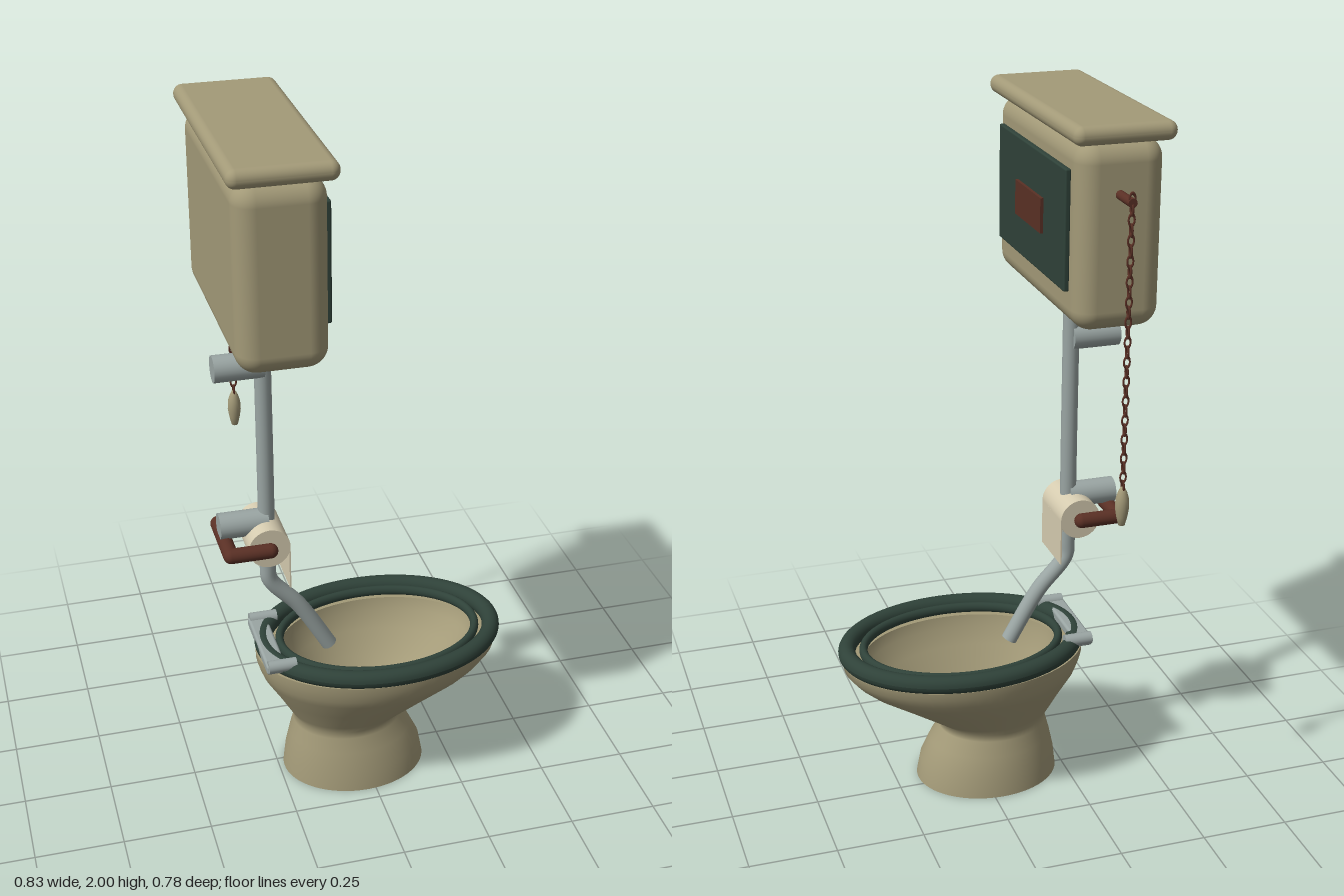
import * as THREE from 'three';
import { RoundedBoxGeometry } from 'three/addons/geometries/RoundedBoxGeometry.js';

const CZ = 0.037; // centre line of the fixture along z

const flat = (name, color, side = THREE.FrontSide) => {
  const m = new THREE.MeshStandardMaterial({ color, side });
  m.name = name;
  return m;
};

// Skin elliptical rings [y, centreX, radiusX, radiusZ]
function loft(rings, seg = 64) {
  const pos = [], idx = [];
  rings.forEach(([y, cx, rx, rz]) => {
    for (let j = 0; j < seg; j++) {
      const a = (j / seg) * Math.PI * 2;
      pos.push(cx + rx * Math.cos(a), y, CZ + rz * Math.sin(a));
    }
  });
  for (let i = 0; i < rings.length - 1; i++) {
    for (let j = 0; j < seg; j++) {
      const a = i * seg + j, b = i * seg + (j + 1) % seg;
      idx.push(a, a + seg, b, b, a + seg, b + seg);
    }
  }
  const g = new THREE.BufferGeometry();
  g.setAttribute('position', new THREE.Float32BufferAttribute(pos, 3));
  g.setIndex(idx);
  g.computeVertexNormals();
  return g;
}

// Elliptical ring lying flat, with a tube of constant thickness
function ovalRing(rx, rz, tube, tubeY) {
  const g = new THREE.TorusGeometry(1, 0.5, 20, 96);
  const p = g.attributes.position;
  for (let i = 0; i < p.count; i++) {
    const x = p.getX(i), y = p.getY(i), z = p.getZ(i);
    const r = Math.hypot(x, y), off = (r - 1) * 2;
    const c = x / r, s = y / r;
    p.setXYZ(i, c * (rx + off * tube), z * 2 * tubeY, -s * (rz + off * tube));
  }
  g.computeVertexNormals();
  return g;
}

export function createModel() {
  const root = new THREE.Group();
  root.name = 'highCisternToilet';

  const stone = flat('stone', 0xa39a78, THREE.DoubleSide);
  const green = flat('darkGreen', 0x2f4239);
  const brown = flat('brown', 0x5a3025);
  const metal = flat('pipeGrey', 0x9aa5a3, THREE.DoubleSide);
  const paper = flat('paper', 0xd6ccb0, THREE.DoubleSide);

  const add = (name, geo, mat, x = 0, y = 0, z = 0, parent = root) => {
    const m = new THREE.Mesh(geo, mat);
    m.name = name;
    m.position.set(x, y, z);
    parent.add(m);
    return m;
  };
  const cylX = (r, len) => new THREE.CylinderGeometry(r, r, len, 24).rotateZ(Math.PI / 2);
  const cylZ = (r, len) => new THREE.CylinderGeometry(r, r, len, 32).rotateX(Math.PI / 2);

  // Pedestal and bowl
  add('bowlOutside', loft([
    [0, -0.025, 0.21, 0.172], [0.06, -0.027, 0.201, 0.164],
    [0.12, -0.035, 0.18, 0.149], [0.165, -0.043, 0.16, 0.135],
    [0.185, -0.044, 0.156, 0.133], [0.21, -0.033, 0.182, 0.148],
    [0.275, -0.002, 0.25, 0.19], [0.335, 0.026, 0.315, 0.23],
    [0.36, 0.036, 0.335, 0.241], [0.39, 0.044, 0.352, 0.25], [0.415, 0.046, 0.355, 0.252],
  ]), stone);
  add('bowlRim', loft([[0.415, 0.046, 0.355, 0.252], [0.415, 0.05, 0.285, 0.198]]), stone);
  add('bowlInside', loft([
    [0.415, 0.05, 0.285, 0.198], [0.38, 0.047, 0.275, 0.19],
    [0.33, 0.033, 0.24, 0.165], [0.27, 0.01, 0.185, 0.12], [0.2, -0.022, 0.12, 0.073],
  ]), stone);

  // Seat rings
  add('seat', ovalRing(0.336, 0.239, 0.025, 0.026), green, 0.05, 0.438, CZ);
  add('innerSeatRing', ovalRing(0.288, 0.203, 0.012, 0.015), green, 0.05, 0.438, CZ);

  // Seat hinge
  add('hingeBar', new RoundedBoxGeometry(0.055, 0.03, 0.26, 3, 0.008), metal, -0.28, 0.447, 0.04);
  for (const s of [-1, 1]) {
    add('hingeKnuckle', cylX(0.018, 0.08), metal, -0.263, 0.457, 0.04 + s * 0.125);
  }

  // Flush pipe
  const path = new THREE.CatmullRomCurve3([
    [-0.27, 1.48], [-0.27, 1.1], [-0.27, 0.72], [-0.268, 0.675], [-0.255, 0.65],
    [-0.195, 0.583], [-0.165, 0.54], [-0.096, 0.42],
  ].map(([x, y]) => new THREE.Vector3(x, y, 0.04)));
  add('flushPipe', new THREE.TubeGeometry(path, 120, 0.023, 20), metal);
  const end = path.getPoint(1);
  const cap = add('flushPipeEnd', new THREE.CircleGeometry(0.023, 20), metal, end.x, end.y, end.z);
  cap.lookAt(end.clone().add(path.getTangent(1)));

  // Wall brackets
  for (const y of [1.338, 0.86]) add('wallBracket', cylX(0.037, 0.135), metal, -0.337, y, 0.04);

  // Cistern with lid and front panel
  add('cistern', new RoundedBoxGeometry(0.235, 0.495, 0.66, 6, 0.055), stone, -0.28, 1.705, 0.04);
  add('cisternLid', new RoundedBoxGeometry(0.274, 0.05, 0.703, 5, 0.024), stone, -0.278, 1.975, CZ);
  add('frontPanel', new RoundedBoxGeometry(0.016, 0.32, 0.535, 2, 0.005), green, -0.156, 1.718, 0.042);
  add('panelPlaque', new THREE.BoxGeometry(0.009, 0.094, 0.205), brown, -0.144, 1.716, 0.04);

  // Flush lever, chain and pull
  add('flushLever', cylZ(0.012, 0.1), brown, -0.27, 1.82, -0.326);
  const chain = new THREE.Group();
  chain.name = 'pullChain';
  root.add(chain);
  const link = new THREE.TorusGeometry(0.009, 0.003, 6, 14).scale(0.9, 1.6, 1);
  const links = 30;
  for (let i = 0; i < links; i++) {
    const l = add('chainLink', link, brown, -0.27, 1.83 - (i / (links - 1)) * 0.77, -0.37, chain);
    l.rotation.y = (i % 2) * Math.PI / 2;
  }
  const pull = [[0, 0.945], [0.009, 0.95], [0.015, 0.975], [0.019, 1.0], [0.018, 1.025],
    [0.012, 1.045], [0.006, 1.057], [0, 1.06]].map(([r, y]) => new THREE.Vector2(r, y));
  add('chainPull', new THREE.LatheGeometry(pull, 20), stone, -0.27, 0, -0.37);

  // Paper roll with hanging sheet
  add('paperRoll', cylZ(0.058, 0.16), paper, -0.28, 0.816, 0.04);
  add('paperSheet', new THREE.BoxGeometry(0.004, 0.135, 0.16), paper, -0.224, 0.749, 0.04);

  // Roll holder: back bar, two arms and the spindle
  const holder = new THREE.Group();
  holder.name = 'rollHolder';
  root.add(holder);
  add('holderBack', cylZ(0.021, 0.18), brown, -0.39, 0.816, 0.04, holder);
  add('holderSpindle', cylZ(0.014, 0.18), brown, -0.28, 0.816, 0.04, holder);
  for (const s of [-1, 1]) {
    const z = 0.04 + s * 0.09;
    add('holderArm', cylX(0.021, 0.11), brown, -0.335, 0.816, z, holder);
    for (const x of [-0.39, -0.28]) {
      add('holderCorner', new THREE.SphereGeometry(0.021, 16, 12), brown, x, 0.816, z, holder);
    }
  }
  return root;
}
